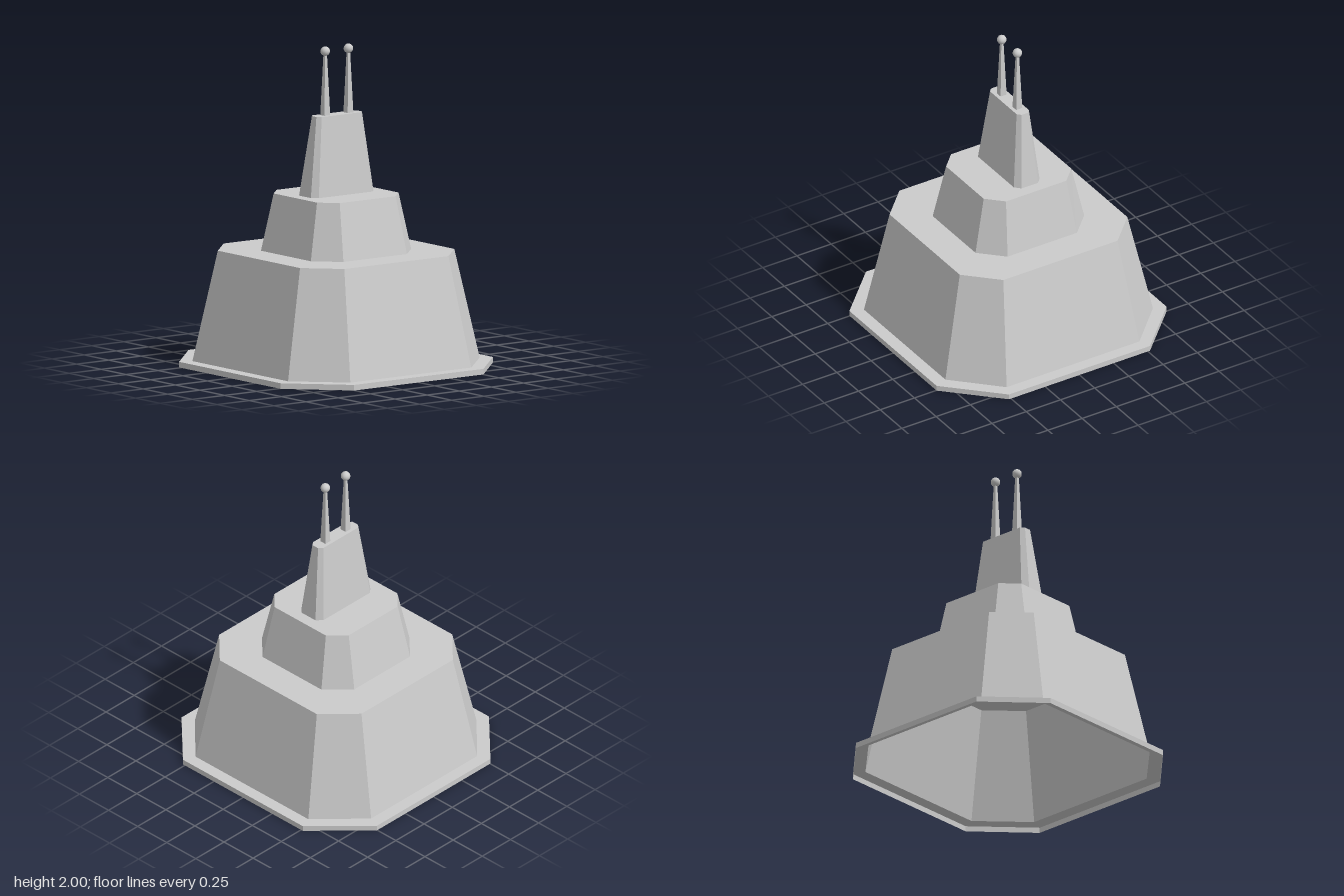
import * as THREE from 'three';

const material = new THREE.MeshStandardMaterial({ color: 0xcccccc, flatShading: true, side: THREE.DoubleSide });
const smooth = new THREE.MeshStandardMaterial({ color: 0xcccccc });

// Chamfered rectangle at height y: half sizes hx, hz; straight edges end at cx, cz; centre ox, oz
function ring(y, hx, cx, hz, cz, ox = -0.002, oz = -0.002) {
  return [[cx, hz], [hx, cz], [hx, -cz], [cx, -hz], [-cx, -hz], [-hx, -cz], [-hx, cz], [-cx, hz]]
    .map(([x, z]) => [x + ox, y, z + oz]);
}

// Skin between successive rings, with an optional lid on the last one
function skin(name, rings, lid = false) {
  const pos = [];
  for (let r = 0; r + 1 < rings.length; r++) {
    const a = rings[r], b = rings[r + 1];
    for (let i = 0; i < a.length; i++) {
      const j = (i + 1) % a.length;
      pos.push(...a[i], ...a[j], ...b[j], ...a[i], ...b[j], ...b[i]);
    }
  }
  if (lid) {
    const top = rings[rings.length - 1];
    for (let i = 1; i + 1 < top.length; i++) pos.push(...top[0], ...top[i], ...top[i + 1]);
  }
  const geo = new THREE.BufferGeometry();
  geo.setAttribute('position', new THREE.Float32BufferAttribute(pos, 3));
  geo.computeVertexNormals();
  const mesh = new THREE.Mesh(geo, material);
  mesh.name = name;
  return mesh;
}

export function createModel() {
  const model = new THREE.Group();
  model.name = 'steppedTower';

  const flangeTop = ring(0.035, 0.84, 0.515, 0.825, 0.503, 0, 0);
  const bodyBase = ring(0.035, 0.758, 0.485, 0.745, 0.47);
  const bodyTop = ring(0.72, 0.612, 0.417, 0.6, 0.405);
  const midBase = ring(0.72, 0.397, 0.253, 0.39, 0.247);
  const midTop = ring(1.075, 0.32, 0.22, 0.317, 0.217, -0.003, -0.003);
  const spireBase = ring(1.075, 0.094, 0.06, 0.243, 0.207, -0.003, -0.004);
  const spireTop = ring(1.57, 0.045, 0.023, 0.177, 0.153, -0.004, -0.01);

  // Hollow shell, open underneath, rising in three tapered tiers
  model.add(
    skin('baseFlange', [ring(0, 0.84, 0.515, 0.825, 0.503, 0, 0), flangeTop, bodyBase]),
    skin('lowerTier', [bodyBase, bodyTop, midBase]),
    skin('middleTier', [midBase, midTop, spireBase]),
    skin('upperTier', [spireBase, spireTop], true),
  );

  // Two square tapered masts with ball tips
  for (const [side, z] of [['front', 0.08], ['back', -0.1]]) {
    const mast = new THREE.Group();
    mast.name = side + 'Mast';
    mast.position.set(-0.005, 1.57, z);
    const rodGeo = new THREE.CylinderGeometry(0.008 * Math.SQRT2, 0.022 * Math.SQRT2, 0.38, 4);
    rodGeo.rotateY(Math.PI / 4);
    const rod = new THREE.Mesh(rodGeo, material);
    rod.name = side + 'Rod';
    rod.position.y = 0.19;
    const ball = new THREE.Mesh(new THREE.SphereGeometry(0.03, 12, 8), smooth);
    ball.name = side + 'Ball';
    ball.position.y = 0.4;
    mast.add(rod, ball);
    model.add(mast);
  }
  return model;
}
